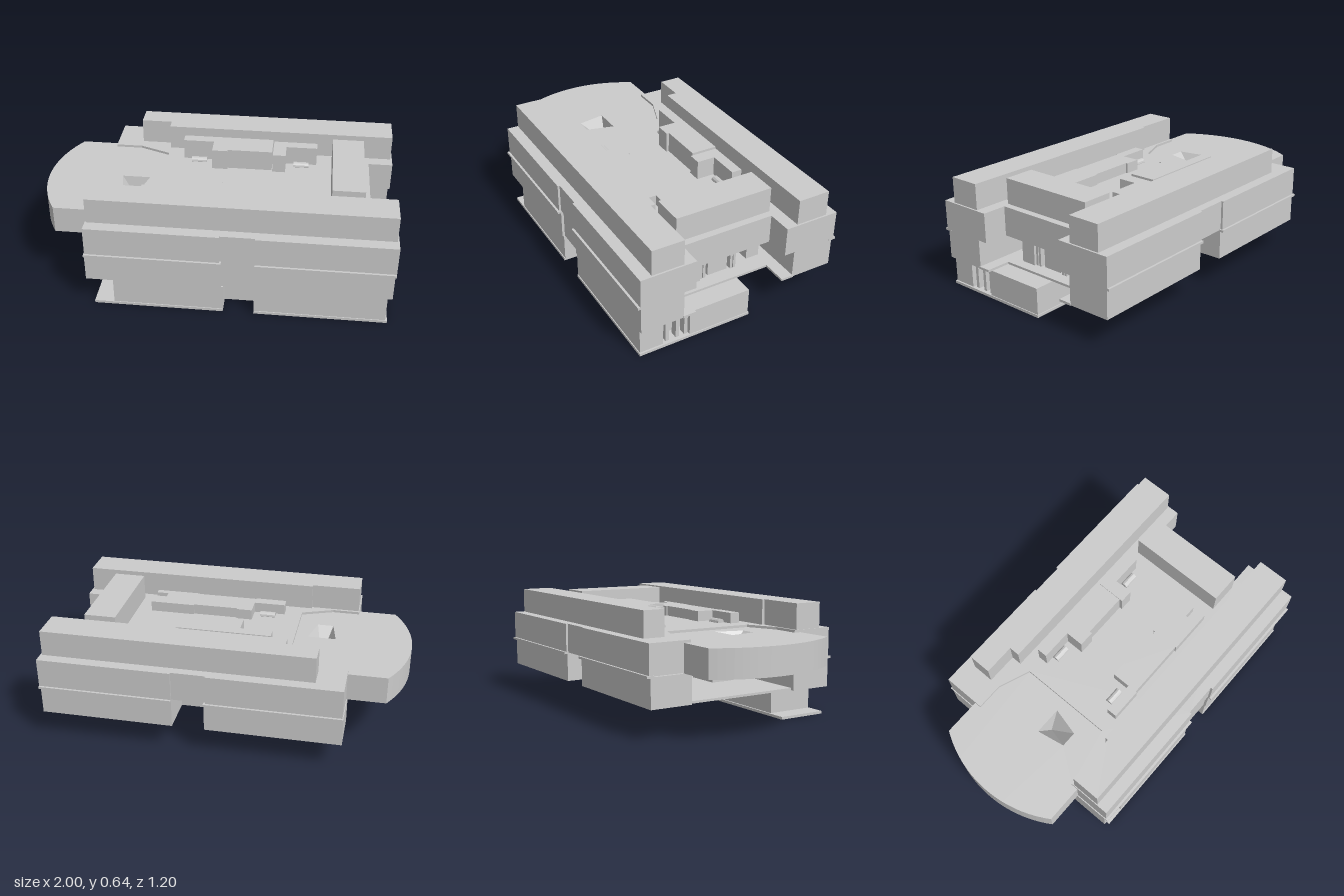
import * as THREE from 'three';

const mat = new THREE.MeshStandardMaterial({ color: 0xcccccc, flatShading: true, side: THREE.DoubleSide });

export function createModel() {
  const model = new THREE.Group();
  const add = (name, geo) => {
    const m = new THREE.Mesh(geo, mat);
    m.name = name;
    model.add(m);
    return m;
  };
  // Prism from a plan outline of [x, z] points between two heights
  const toV = (pts) => pts.map(([x, z]) => new THREE.Vector2(x, -z));
  const prism = (name, pts, y0, y1, hole) => {
    const shape = new THREE.Shape(toV(pts));
    if (hole) shape.holes.push(new THREE.Path(toV(hole)));
    const g = new THREE.ExtrudeGeometry(shape, { depth: y1 - y0, bevelEnabled: false });
    g.rotateX(-Math.PI / 2).translate(0, y0, 0);
    return add(name, g);
  };
  const box = (name, x0, x1, y0, y1, z0, z1) => {
    const g = new THREE.BoxGeometry(x1 - x0, y1 - y0, z1 - z0);
    return add(name, g.translate((x0 + x1) / 2, (y0 + y1) / 2, (z0 + z1) / 2));
  };
  const flip = (pts) => pts.map(([x, z]) => [x, -z]).reverse();

  // Ground plate and lowest floor
  prism('groundPlate', [[-0.64, 0.58], [0.08, 0.58], [0.08, 0.47], [0.25, 0.47], [0.25, 0.58], [0.98, 0.58],
    [0.98, -0.08], [0.3, -0.08], [0.3, 0.29], [-0.64, 0.29]], 0, 0.015);
  prism('lowerFloor', [[-0.53, 0.575], [0.08, 0.575], [0.08, 0.47], [0.25, 0.47], [0.25, 0.575], [0.97, 0.575],
    [0.97, 0.44], [0.9, 0.44], [0.9, 0.285], [0.975, 0.285], [0.975, -0.075], [0.3, -0.075], [0.3, 0.3],
    [-0.53, 0.3]], 0.015, 0.165);
  for (const z of [0.29, 0.34, 0.4]) box('windowPost', 0.92, 0.96, 0.015, 0.165, z, z + 0.02);

  // Middle floor: thin floor slab and two long wings, notched on the outside
  prism('middleFloorSlab', [[-0.66, 0.34], [1, 0.34], [1, 0.265], [0.86, 0.265], [0.86, -0.265], [1, -0.265],
    [1, -0.34], [-0.66, -0.34]], 0.165, 0.178);
  prism('frontWing', [[-0.68, 0.58], [0.07, 0.58], [0.07, 0.565], [0.25, 0.565], [0.25, 0.58], [0.995, 0.58],
    [0.995, 0.335], [-0.68, 0.335]], 0.165, 0.33);
  prism('backWing', [[-0.68, -0.58], [0.07, -0.58], [0.07, -0.36], [0.25, -0.36], [0.25, -0.58], [0.995, -0.58],
    [0.995, -0.335], [-0.68, -0.335]], 0.165, 0.33);

  // Core walls standing between the wings
  const core = [[0.6, 0.8, 0.12, 0.21], [0.55, 0.78, -0.06, 0.06], [0.5, 0.76, -0.28, -0.2],
    [0.1, 0.45, -0.13, 0.1], [-0.3, -0.1, 0.06, 0.19], [-0.3, -0.1, -0.19, -0.11]];
  for (const [x0, x1, z0, z1] of core) box('coreWall', x0, x1, 0.178, 0.33, z0, z1);
  for (const z of [-0.11, -0.09, 0.08, 0.1]) box('corePost', 0.76, 0.79, 0.178, 0.33, z, z + 0.015);

  // Upper floor with a bay at each end
  const side = [[-0.34, 0.27], [-0.52, 0.34], [-0.675, 0.34], [-0.675, 0.587], [0.06, 0.587], [0.06, 0.575],
    [0.25, 0.575], [0.25, 0.587], [1, 0.587], [1, 0.27], [0.86, 0.27]];
  prism('upperFloor', [...side, ...flip(side)], 0.333, 0.5);

  // Ledges along both long walls, interrupted at the notch
  for (const s of [1, -1]) {
    for (const [x0, x1] of [[-0.68, 0.07], [0.25, 1]]) {
      const z = [s * 0.56, s * 0.6].sort((a, b) => a - b);
      box('ledge', x0, x1, 0.324, 0.337, z[0], z[1]);
    }
  }

  // Round-ended terrace with a sunken funnel
  const arc = [];
  for (let i = 0; i <= 20; i++) {
    const z = -0.38 + 0.038 * i;
    arc.push([-1 + 0.11 * (z / 0.38) ** 2 * (0.92 + 0.08 * (z / 0.38) ** 2), z]);
  }
  const pit = [[-0.57, 0], [-0.41, 0], [-0.45, 0.16], [-0.54, 0.16]];
  prism('terrace', [...arc, [-0.67, 0.38], [-0.67, 0.34], [-0.52, 0.34], [-0.34, 0.27], [-0.34, -0.27],
    [-0.52, -0.34], [-0.67, -0.34], [-0.67, -0.38]], 0.33, 0.486, pit);
  const funnel = new THREE.BufferGeometry();
  const tip = [-0.49, 0.35, 0.02];
  const tri = [];
  pit.forEach(([x, z], i) => {
    const [x2, z2] = pit[(i + 1) % pit.length];
    tri.push(x, 0.486, z, ...tip, x2, 0.486, z2);
  });
  funnel.setAttribute('position', new THREE.Float32BufferAttribute(tri, 3));
  funnel.computeVertexNormals();
  add('funnel', funnel);

  // Roof bars along both sides and across the end
  prism('frontRoofBar', [[-0.67, 0.52], [0.99, 0.52], [0.99, 0.338], [-0.39, 0.338], [-0.39, 0.355],
    [-0.67, 0.355]], 0.5, 0.645);
  prism('backRoofBar', [[-0.52, -0.525], [0.99, -0.525], [0.99, -0.34], [-0.34, -0.34], [-0.34, -0.4],
    [-0.52, -0.4]], 0.5, 0.645);
  box('crossRoofBar', 0.64, 0.82, 0.5, 0.645, -0.285, 0.285);

  // Stepped roof blocks in the middle
  prism('backRoofBlock', [[-0.24, -0.285], [0.29, -0.285], [0.29, -0.135], [0.03, -0.135], [0.03, -0.12],
    [-0.06, -0.12], [-0.06, -0.225], [-0.24, -0.225]], 0.5, 0.62);
  prism('backRoofStep', [[0.295, -0.285], [0.55, -0.285], [0.55, -0.225], [0.37, -0.225], [0.37, -0.12],
    [0.295, -0.12]], 0.5, 0.61);
  prism('frontRoofBlock', [[-0.24, 0.285], [-0.06, 0.285], [-0.06, 0.278], [0.29, 0.278], [0.29, 0.285],
    [0.55, 0.285], [0.55, 0.25], [0.48, 0.25], [0.48, 0.205], [0.55, 0.205], [0.55, 0.12], [0.29, 0.12],
    [0.29, 0.13], [0.03, 0.13], [0.03, 0.12], [-0.06, 0.12], [-0.06, 0.225], [-0.24, 0.225]], 0.5, 0.56);

  // Small rounded roof vents
  for (const [x, z] of [[-0.145, -0.205], [0.46, -0.205], [-0.145, 0.193]]) {
    const g = new THREE.CylinderGeometry(0.021, 0.021, 0.09, 12).rotateZ(Math.PI / 2);
    add('roofVent', g.translate(x, 0.502, z));
  }
  return model;
}
